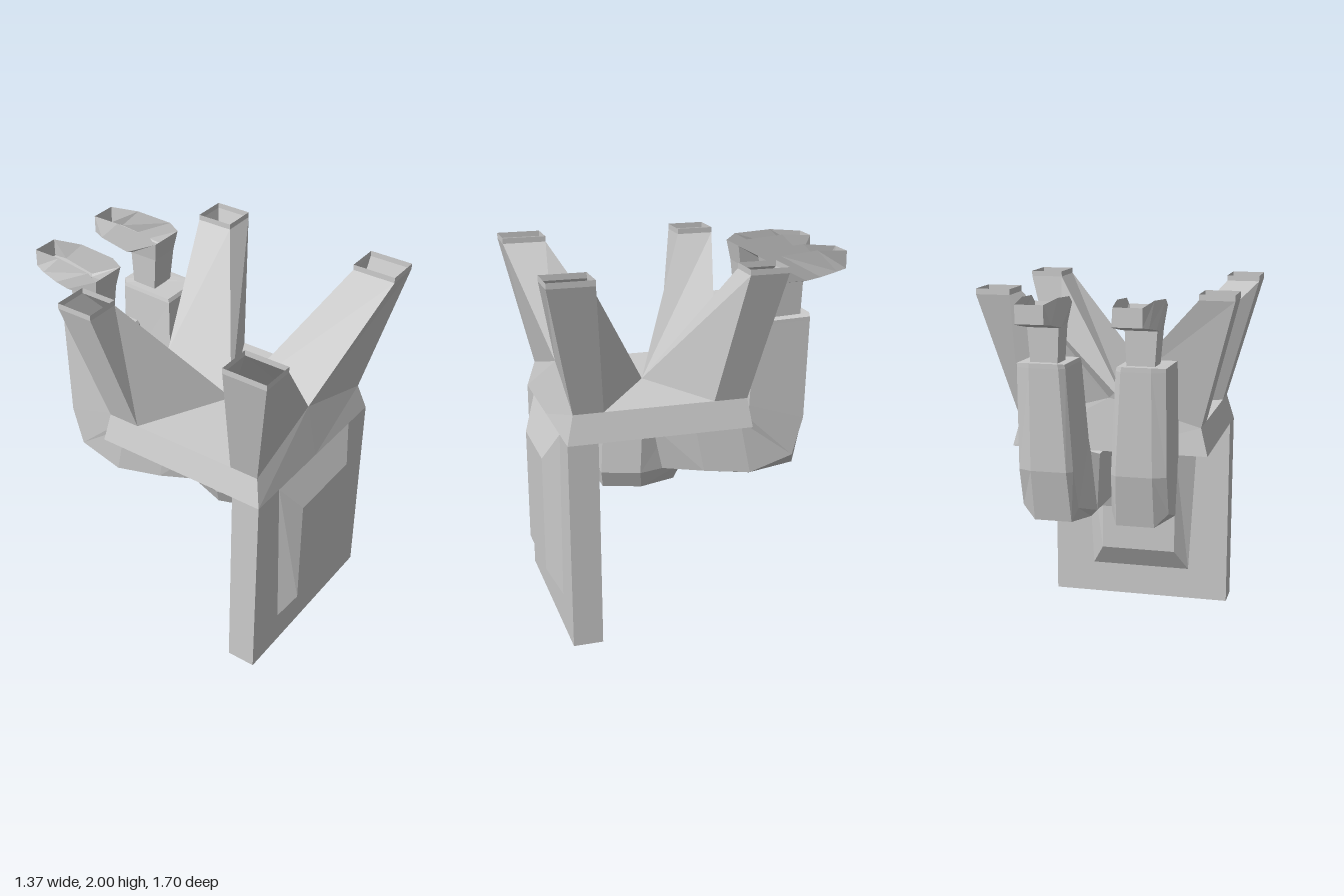
import * as THREE from 'three';

const material = new THREE.MeshStandardMaterial({ color: 0xcccccc, flatShading: true, side: THREE.DoubleSide });

// Flat-shaded mesh from convex polygons, each a list of [x, y, z] corners
function polyMesh(name, faces) {
  const pos = [];
  for (const f of faces)
    for (let i = 1; i < f.length - 1; i++) pos.push(...f[0], ...f[i], ...f[i + 1]);
  const geo = new THREE.BufferGeometry();
  geo.setAttribute('position', new THREE.Float32BufferAttribute(pos, 3));
  geo.computeVertexNormals();
  const mesh = new THREE.Mesh(geo, material);
  mesh.name = name;
  return mesh;
}

// Quads joining a list of rings; skip(section, side) leaves openings
function loft(rings, { capStart = false, capEnd = false, skip = () => false } = {}) {
  const faces = [];
  for (let s = 0; s < rings.length - 1; s++) {
    const a = rings[s], b = rings[s + 1];
    for (let i = 0; i < a.length; i++) {
      const j = (i + 1) % a.length;
      if (!skip(s, i)) faces.push([a[i], a[j], b[j], b[i]]);
    }
  }
  if (capStart) faces.push([...rings[0]].reverse());
  if (capEnd) faces.push(rings[rings.length - 1]);
  return faces;
}

// Seat slab with a hollow, open-topped horn at each corner
function buildSeat() {
  const faces = [];
  const midZ = 0.245;
  const ends = [
    { side: 1, low: 0.74, edge: 0.70, peak: 0.68, tipOut: 0.85, tipIn: 0.61, base: 0.54 },
    { side: -1, low: -0.25, edge: -0.23, peak: -0.225, tipOut: -0.37, tipIn: -0.165, base: -0.05 },
  ];
  for (const e of ends) for (const sx of [1, -1]) {
    const lowMid = [0, 1.13, e.low], low = [0.54, 1.13, e.low];
    const edge = [0.5, 1.28, e.edge], peak = [0, 1.42, e.peak];
    const base = [0.5, 1.28, e.base], centre = [0, 1.28, 0.2];
    const sideLow = [0.54, 1.13, midZ], sideTop = [0.5, 1.28, midZ];
    const tip = (y) => [[0.5, y, e.tipOut], [0.685, y, e.tipOut], [0.685, y, e.tipIn], [0.5, y, e.tipIn]];
    const t = tip(1.97);
    const part = [
      [lowMid, low, edge, peak],
      [low, sideLow, sideTop, edge],
      [[0, 1.13, midZ], sideLow, low, lowMid],
      [centre, base, sideTop],
      [peak, edge, t[1], t[0]],
      [edge, base, t[2], t[1]],
      [base, centre, t[3], t[2]],
      [centre, peak, t[0], t[3]],
      ...loft([t, tip(2)]),
    ];
    for (const f of part) {
      const g = f.map(([x, y, z]) => [sx * x, y, z]);
      faces.push(sx * e.side < 0 ? g.reverse() : g);
    }
  }
  return polyMesh('seatWithHorns', faces);
}

// Raised bevelled field on a face of the front panel
function buildField(name, z0, z1) {
  const ring = (wb, wt, y0, y1, z) => [[-wb, y0, z], [wb, y0, z], [wt, y1, z], [-wt, y1, z]];
  const faces = loft([ring(0.3, 0.35, 0.19, 1.13, z0), ring(0.225, 0.225, 0.32, 0.96, z1)], { capEnd: true });
  return polyMesh(name, z1 > z0 ? faces : faces.map((f) => [...f].reverse()));
}

// Bent limb: each section has inner and outer x, then [y, z] of front, ridge and back
function buildLimb() {
  const sections = [
    [0.02, 0.20, [1.13, 0.26], [0.82, 0.15], [0.81, 0.11]],
    [0.03, 0.31, [1.13, 0.00], [0.82, -0.06], [0.80, -0.06]],
    [0.05, 0.38, [1.11, -0.24], [0.81, -0.30], [0.78, -0.32]],
    [0.09, 0.39, [1.13, -0.28], [0.89, -0.54], [0.82, -0.57]],
    [0.10, 0.39, [1.20, -0.285], [1.10, -0.60], [1.10, -0.63]],
    [0.13, 0.385, [1.63, -0.31], [1.64, -0.62], [1.64, -0.645]],
    [0.135, 0.385, [1.65, -0.32], [1.66, -0.62], [1.665, -0.645]],
  ];
  const rings = sections.map(([xi, xo, f, r, b]) => [
    [xo, ...f], [xo, ...r], [xo - 0.07, ...b], [xi + 0.03, ...b], [xi, ...r], [xi, ...f],
  ].reverse());
  return polyMesh('limb', loft(rings, { capStart: true, capEnd: true }).map((f) => f.reverse()));
}

// Wrist and curved hand, open along the top
function buildHand() {
  const sections = [
    [0.18, 0.32, [1.62, -0.45], [1.62, -0.59]],
    [0.17, 0.335, [1.84, -0.43], [1.84, -0.595]],
    [0.15, 0.35, [1.95, -0.41], [1.845, -0.61]],
    [0.15, 0.35, [1.985, -0.46], [1.86, -0.69]],
    [0.15, 0.335, [2.00, -0.67], [1.88, -0.79]],
    [0.17, 0.315, [1.985, -0.85], [1.89, -0.85]],
  ];
  const rings = sections.map(([xi, xo, f, b]) => [[xi, ...f], [xo, ...f], [xo, ...b], [xi, ...b]]);
  return polyMesh('hand', loft(rings, { capEnd: true, skip: (s, i) => s >= 2 && i === 0 }));
}

// Hip block under the seat where the limbs meet
function buildHip() {
  const ring = (y, w, c, z0, z1) => [
    [-c, y, z0], [c, y, z0], [w, y, z0 - 0.2], [c, y, z1], [-c, y, z1], [-w, y, z0 - 0.2],
  ];
  return polyMesh('hip', loft([
    ring(0.725, 0.2, 0.13, 0.465, 0.06),
    ring(0.82, 0.24, 0.17, 0.48, 0.03),
    ring(1.13, 0.24, 0.17, 0.465, 0.03),
  ], { capStart: true, capEnd: true }));
}

export function createModel() {
  const model = new THREE.Group();
  model.name = 'hornedSeat';

  const panel = new THREE.Mesh(new THREE.BoxGeometry(1.08, 1.13, 0.16), material);
  panel.name = 'frontPanel';
  panel.position.set(0, 0.565, 0.66);
  model.add(panel, buildField('frontField', 0.74, 0.815), buildField('backField', 0.58, 0.505));

  model.add(buildSeat(), buildHip());

  for (const [name, sx] of [['leftArm', 1], ['rightArm', -1]]) {
    const arm = new THREE.Group();
    arm.name = name;
    arm.add(buildLimb(), buildHand());
    arm.scale.x = sx;
    model.add(arm);
  }
  return model;
}
